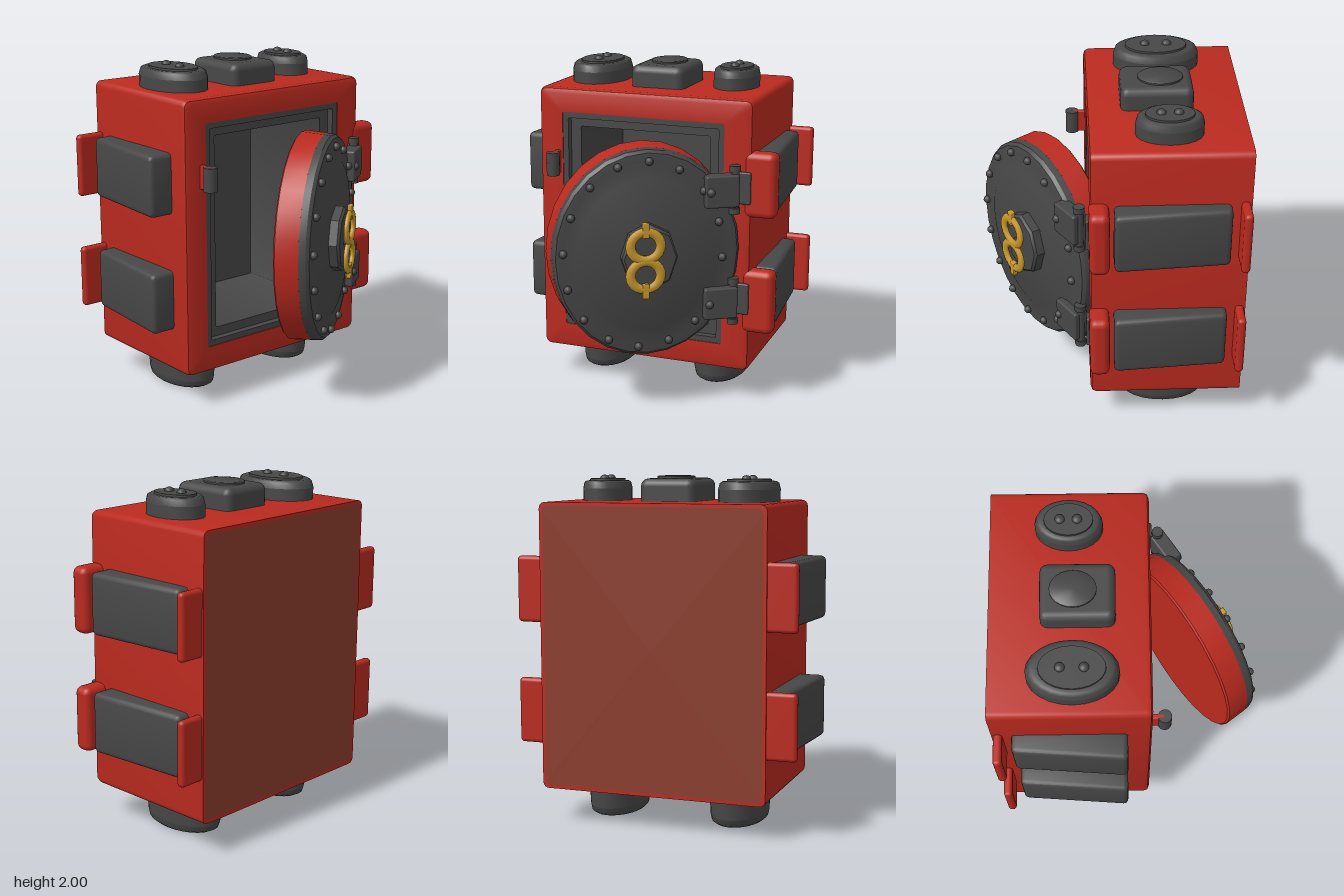
import * as THREE from 'three';
import { toCreasedNormals } from 'three/addons/utils/BufferGeometryUtils.js';
import { RoundedBoxGeometry } from 'three/addons/geometries/RoundedBoxGeometry.js';

const material = (name, color) => {
  const m = new THREE.MeshStandardMaterial({ color });
  m.name = name;
  return m;
};

// Skin over rounded rectangles [x, width, height, radius, centre z, centre y]
function loft(rings) {
  const positions = [], index = [], n = 20;
  for (const [x, w, h, r, cz, cy] of rings) {
    for (let k = 0; k < 4; k++) {
      const sz = k === 0 || k === 3 ? 1 : -1, sy = k < 2 ? 1 : -1;
      for (let j = 0; j < 5; j++) {
        const a = (k + j / 4) * Math.PI / 2;
        positions.push(x, cy + sy * (h / 2 - r) + r * Math.sin(a), cz + sz * (w / 2 - r) + r * Math.cos(a));
      }
    }
  }
  for (let i = 0; i < rings.length - 1; i++) {
    for (let j = 0; j < n; j++) {
      const a = i * n + j, b = i * n + (j + 1) % n;
      index.push(a, a + n, b, b, a + n, b + n);
    }
  }
  const geometry = new THREE.BufferGeometry();
  geometry.setAttribute('position', new THREE.Float32BufferAttribute(positions, 3));
  geometry.setIndex(index);
  return toCreasedNormals(geometry, 0.6);
}

export function createModel() {
  const red = material('red paint', 0xba2a1f);
  const brown = material('brown back', 0x8c3c2c);
  const gray = material('dark gray metal', 0x474747);
  const gold = material('gold', 0xc8982c);
  const model = new THREE.Group();
  model.name = 'openSafe';

  const add = (parent, name, geometry, mat, x = 0, y = 0, z = 0) => {
    const mesh = new THREE.Mesh(geometry, mat);
    mesh.name = name;
    mesh.position.set(x, y, z);
    parent.add(mesh);
    return mesh;
  };
  const box = (parent, name, mat, w, h, d, x, y, z, r = 0.02) =>
    add(parent, name, new RoundedBoxGeometry(w, h, d, 2, r), mat, x, y, z);
  const lathe = (points, segments = 24) => toCreasedNormals(
    new THREE.LatheGeometry(points.map(p => new THREE.Vector2(...p)), segments), 0.6);

  // Shell with rounded front rim and opening, and its back panel
  const outside = [-0.01, 1.025], inside = [0, 1.03];
  add(model, 'shell', loft([
    [-0.77, 1.3, 1.61, 0.03, ...outside],
    [-0.77, 1.34, 1.65, 0.035, ...outside],
    [0.09, 1.34, 1.65, 0.035, ...outside],
    [0.115, 1.325, 1.635, 0.035, ...outside],
    [0.125, 1.28, 1.59, 0.03, ...outside],
    [0.12, 1.02, 1.35, 0.01, ...inside],
    [0.05, 1.02, 1.35, 0.01, ...inside],
  ]), red);
  add(model, 'backPanel', loft([
    [-0.77, 0, 0, 0, ...outside],
    [-0.77, 1.3, 1.61, 0.03, ...outside],
  ]), brown);

  // Stepped lining and the chamber
  add(model, 'lining', loft([
    [0.114, 1.02, 1.35, 0.01, ...inside],
    [0.114, 0.95, 1.28, 0.01, ...inside],
    [0.07, 0.95, 1.28, 0.01, ...inside],
    [0.07, 0.82, 1.17, 0.01, ...inside],
    [-0.6, 0.82, 1.17, 0.01, ...inside],
    [-0.6, 0, 0, 0, ...inside],
  ]), gray);

  // Rounded feet
  for (const [z, rx] of [[0.38, 0.27], [-0.38, 0.265]]) {
    const foot = add(model, 'foot', lathe([[0, 0], [0.82, 0], [0.92, 0.015], [0.96, 0.05], [1, 0.21]]), gray, -0.325, 0, z);
    foot.scale.set(rx, 1, 0.17);
  }

  // Oval caps with two studs, on the top
  const ovals = [[-0.325, -0.445, 0.19, 0.135, 0.048], [-0.305, 0.42, 0.255, 0.17, 0.065]];
  for (const [x, z, rx, rz, gap] of ovals) {
    const cap = add(model, 'ovalCap',
      lathe([[1, 0], [1, 0.08], [0.95, 0.115], [0.86, 0.125], [0.72, 0.125], [0.715, 0.137], [0, 0.137]]),
      gray, x, 1.84, z);
    cap.scale.set(rx, 1, rz);
    for (const side of [-1, 1]) {
      const stud = add(model, 'capStud', new THREE.SphereGeometry(0.028, 12, 8), gray, x + side * gap, 1.977, z);
      stud.scale.y = 0.8;
    }
  }
  // Square cap with a round disc
  box(model, 'squareCap', gray, 0.415, 0.2, 0.335, -0.277, 1.88, -0.02, 0.045);
  const disc = add(model, 'squareCapDisc', lathe([[1, 0], [1, 0.015], [0.94, 0.02], [0, 0.02]]), gray, -0.3, 1.975, -0.025);
  disc.scale.set(0.13, 1, 0.107);

  // Wedge panels and red tabs on both flanks
  for (const side of [-1, 1]) {
    for (const y of [1.35, 0.645]) {
      const wedge = new RoundedBoxGeometry(0.65, 0.365, 0.22, 2, 0.03);
      const p = wedge.attributes.position;
      for (let i = 0; i < p.count; i++) p.setZ(i, p.getZ(i) + side * 0.025 * p.getX(i) / 0.325);
      add(model, 'flankPanel', toCreasedNormals(wedge, 0.6), gray, -0.335, y, side * 0.672);
      box(model, 'flankTab', red, 0.05, 0.38, 0.23, -0.735, y + 0.003, side * 0.715, 0.022);
    }
  }

  // Latch keeper beside the opening
  box(model, 'latchArm', red, 0.09, 0.14, 0.03, 0.155, 1.4, 0.54, 0.006);
  add(model, 'latchBar', new THREE.CylinderGeometry(0.04, 0.04, 0.14, 14), gray, 0.2, 1.4, 0.54);

  // Door, swung open; local z is its outer face and local x points to the hinges
  const door = new THREE.Group();
  door.name = 'door';
  door.position.set(0.463, 0.98, -0.17);
  door.rotation.y = 2.149;
  model.add(door);
  const round = (name, points, mat) => {
    const mesh = add(door, name, lathe(points, 28), mat);
    mesh.rotation.x = Math.PI / 2;
    mesh.scale.x = 0.89;
  };
  round('doorBody', [[0, -0.21], [0.62, -0.21], [0.632, -0.2], [0.622, -0.065], [0, -0.065]], red);
  round('doorFace', [[0.622, -0.066], [0.617, -0.025], [0.6, -0.006], [0.56, 0], [0.48, 0], [0.46, 0.008], [0, 0.012]], gray);

  for (let i = 0; i < 16; i++) {
    const a = (i / 8 - 0.022) * Math.PI;
    add(door, 'doorRivet', new THREE.SphereGeometry(0.024, 10, 8), gray,
      0.468 * Math.cos(a) - 0.025, 0.555 * Math.sin(a), 0.008);
  }

  // Raised boss with a gold handle of two rings and a bar
  const boss = add(door, 'handleBoss', lathe([[0.2, 0], [0.2, 0.06], [0.185, 0.075], [0, 0.075]], 8), gray, 0, 0, 0);
  boss.rotation.x = Math.PI / 2;
  boss.scale.x = 0.82;
  for (const side of [-1, 1]) {
    const ring = add(door, 'handleRing', new THREE.TorusGeometry(0.083, 0.027, 8, 24), gold, -0.035, side * 0.087, 0.108);
    ring.scale.set(1.06, 1, 0.6);
    box(door, 'handleBar', gold, 0.04, 0.09, 0.03, -0.035, side * 0.18, 0.108, 0.006);
  }
  const post = add(door, 'handlePost', new THREE.CylinderGeometry(0.025, 0.025, 0.04, 10), gray, -0.035, 0, 0.083);
  post.rotation.x = Math.PI / 2;

  // Hinges: red bracket on the shell, pin, and leaf on the door
  for (const y of [1.34, 0.665]) {
    const s = y > 1 ? 1.355 : 0.645;
    box(model, 'hingeBracket', red, 0.115, 0.39, 0.2, 0.073, s, -0.725, 0.04);
    box(model, 'hingeBlock', gray, 0.05, 0.19, 0.08, 0.122, y, -0.64, 0.008);
    add(model, 'hingePin', new THREE.CylinderGeometry(0.026, 0.026, 0.24, 12), gray, 0.18, y, -0.598);
    for (const end of [-1, 1]) {
      add(model, 'hingePinCap', new THREE.CylinderGeometry(0.033, 0.033, 0.035, 12), gray, 0.18, y + end * 0.125, -0.598);
    }
    box(door, 'hingeLeaf', gray, 0.2, 0.19, 0.09, 0.43, y - 0.98, 0.002, 0.012);
    add(door, 'hingeRivet', new THREE.SphereGeometry(0.025, 10, 8), gray, 0.36, y - 0.98, 0.044);
  }
  return model;
}
